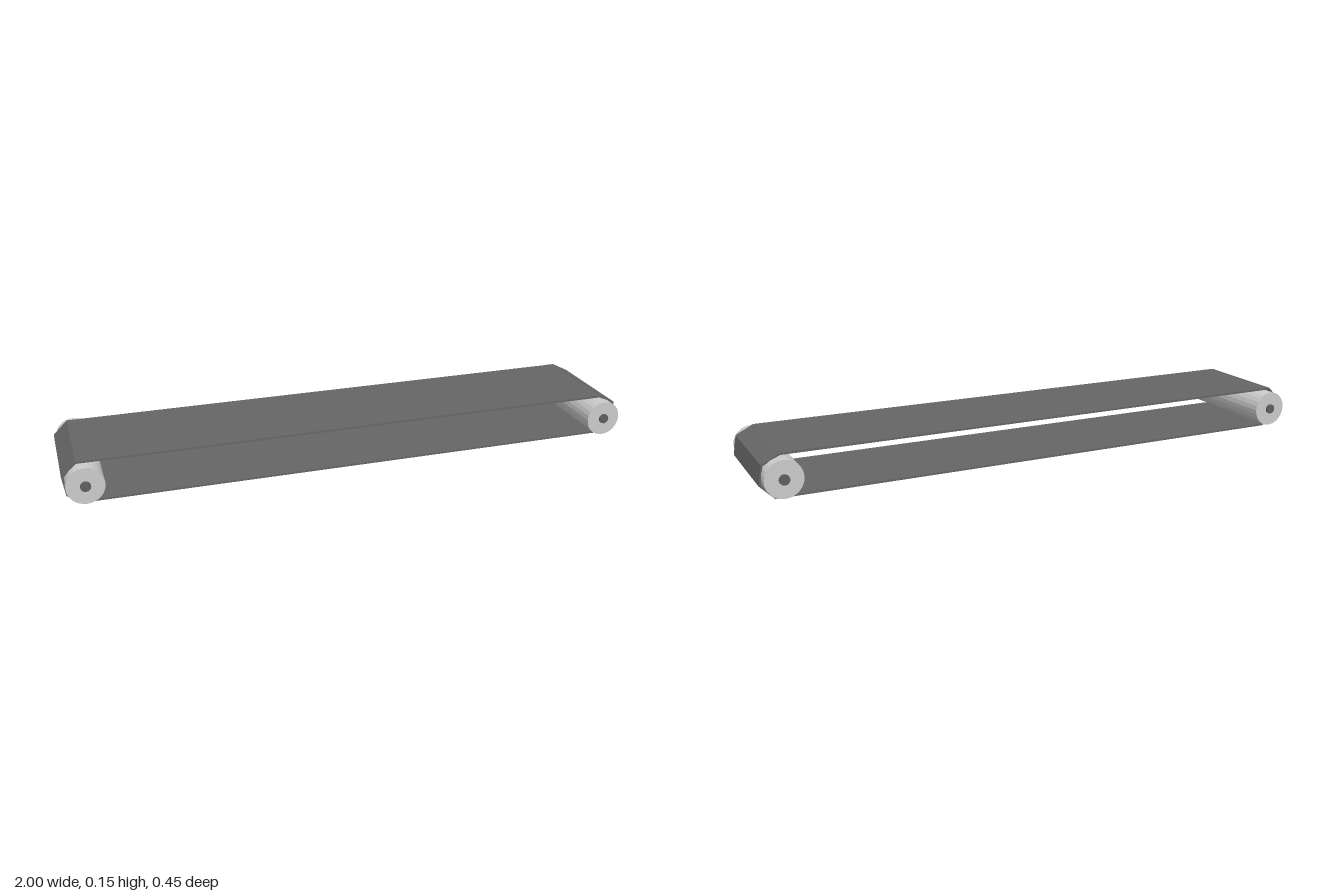
import * as THREE from 'three';

const AXLE_X = 0.929, AXLE_Y = 0.075;
const BELT_R = 0.075, BELT_T = 0.007, BELT_W = 0.36;

const rubber = new THREE.MeshStandardMaterial({ name: 'beltGrey', color: 0x666666 });
const steel = new THREE.MeshStandardMaterial({ name: 'rollerSteel', color: 0xcccccc });
const darkSteel = new THREE.MeshStandardMaterial({ name: 'shaftGrey', color: 0x5f5f5f });

// Loop of four facet corners round each end, the second end turned half a turn
function beltLoop(radius) {
  const points = [];
  for (const side of [1, -1]) {
    for (const deg of [-72, -18, 36, 90]) {
      const a = THREE.MathUtils.degToRad(deg);
      points.push(new THREE.Vector2(
        side * (AXLE_X + radius * Math.cos(a)),
        AXLE_Y + side * radius * Math.sin(a)
      ));
    }
  }
  return points;
}

// Faceted cylinder lying along z
function rod(name, radius, length, sides, material) {
  const geometry = new THREE.CylinderGeometry(radius, radius, length, sides)
    .rotateX(Math.PI / 2).toNonIndexed();
  geometry.computeVertexNormals();
  const mesh = new THREE.Mesh(geometry, material);
  mesh.name = name;
  return mesh;
}

export function createModel() {
  const model = new THREE.Group();
  model.name = 'conveyorBelt';

  // Thin endless belt
  const shape = new THREE.Shape(beltLoop(BELT_R));
  shape.holes.push(new THREE.Path(beltLoop(BELT_R - BELT_T)));
  const beltGeometry = new THREE.ExtrudeGeometry(shape, { depth: BELT_W, bevelEnabled: false, steps: 1 });
  beltGeometry.translate(0, 0, -BELT_W / 2);
  const belt = new THREE.Mesh(beltGeometry, rubber);
  belt.name = 'belt';
  model.add(belt);

  // Roller and shaft at each end
  for (const [name, side] of [['left', 1], ['right', -1]]) {
    const end = new THREE.Group();
    end.name = name + 'RollerAssembly';
    end.position.set(side * AXLE_X, AXLE_Y, 0);
    end.add(rod(name + 'Roller', 0.063, 0.434, 24, steel));
    end.add(rod(name + 'Shaft', 0.0175, 0.448, 12, darkSteel));
    model.add(end);
  }
  return model;
}
